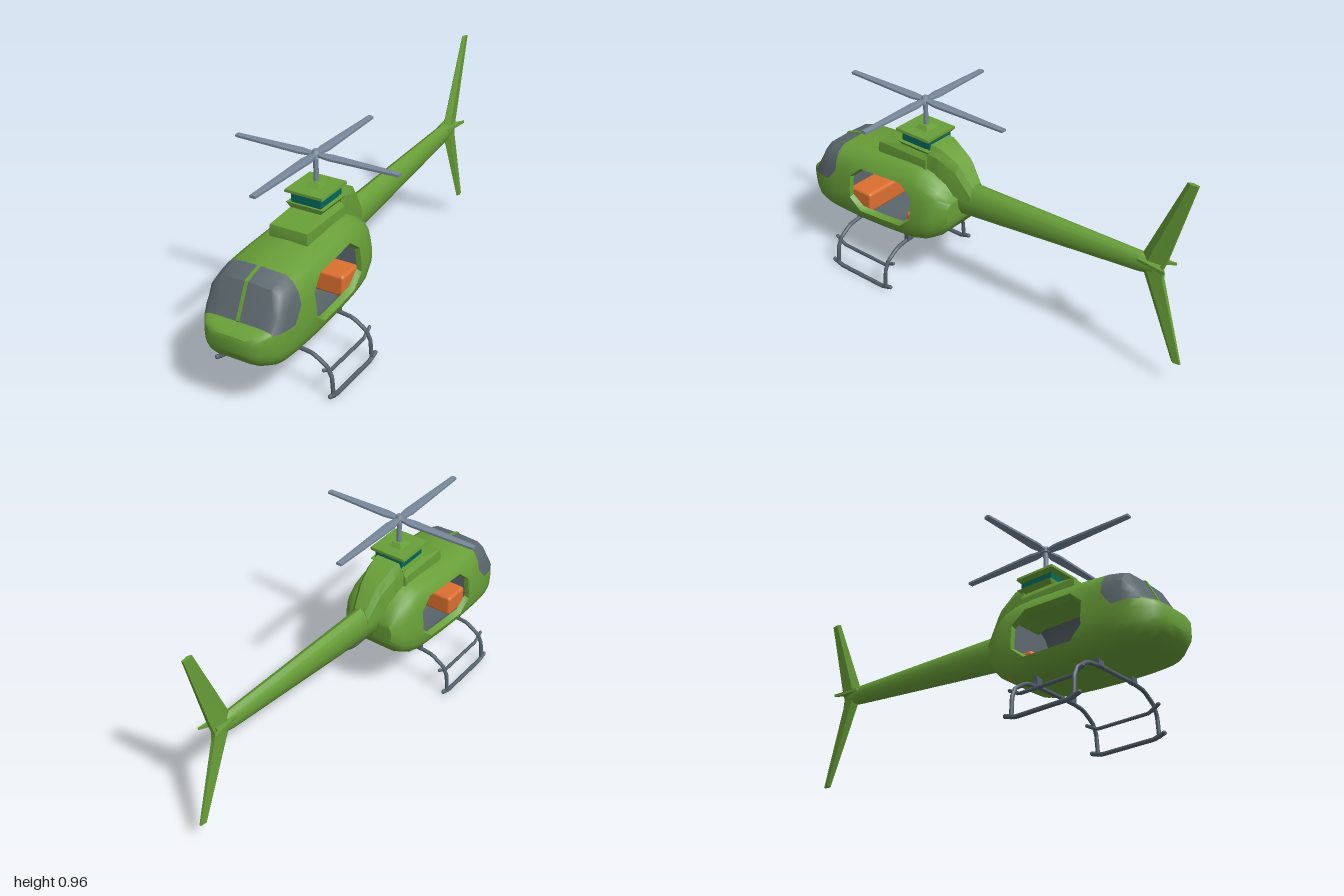
import * as THREE from 'three';
import { toCreasedNormals } from 'three/addons/utils/BufferGeometryUtils.js';
import { RoundedBoxGeometry } from 'three/addons/geometries/RoundedBoxGeometry.js';

const mat = (name, color) => Object.assign(new THREE.MeshStandardMaterial({ color }), { name });
const V = (x, y, z) => new THREE.Vector3(x, y, z);

// Triangle soup to geometry, with soft normals below the crease angle
function soup(tris, crease = 0.7) {
  const g = new THREE.BufferGeometry().setFromPoints(tris);
  return toCreasedNormals(g, crease);
}

// Closed solid through equal-sized rings of points, always facing outward
function loft(rings, crease = 0.5) {
  const t = [], n = rings[0].length;
  for (let i = 0; i + 1 < rings.length; i++) for (let j = 0; j < n; j++) {
    const k = (j + 1) % n, A = rings[i], B = rings[i + 1];
    t.push(A[j], A[k], B[k], A[j], B[k], B[j]);
  }
  const E = rings[rings.length - 1];
  for (let j = 1; j + 1 < n; j++) t.push(rings[0][0], rings[0][j + 1], rings[0][j], E[0], E[j], E[j + 1]);
  let vol = 0;
  const c = rings[0][0];
  for (let i = 0; i < t.length; i += 3) {
    const [p, q, r] = [0, 1, 2].map(k => t[i + k].clone().sub(c));
    vol += p.dot(q.cross(r));
  }
  return soup(vol < 0 ? t.reverse() : t, crease);
}

// Rectangular layers stacked upward: [y, half width, back z, front z]
const layers = rows => loft(rows.map(([y, h, a, b]) => [V(-h, y, a), V(h, y, a), V(h, y, b), V(-h, y, b)]));

// Fuselage stations, nose to tail: [z, bottom, waist, top, half width]
const ST = [
  [1.0, .30, .35, .375, .09], [.98, .262, .375, .39, .13], [.94, .235, .388, .405, .16],
  [.905, .224, .39, .475, .18], [.87, .219, .39, .545, .188], [.83, .217, .39, .558, .192],
  [.78, .217, .39, .57, .195], [.685, .217, .39, .58, .195], [.625, .218, .39, .584, .195],
  [.5, .224, .395, .592, .192], [.385, .232, .4, .6, .187], [.32, .24, .405, .6, .183],
  [.26, .258, .41, .583, .178], [.2, .295, .42, .545, .163], [.15, .36, .43, .48, .122],
];
// Section rows, bottom to top: [half above waist, height fraction, width fraction]
const ROW = [
  [0, 0, 0], [0, 0, .6], [0, .1, .82], [0, .28, .94], [0, .45, .985], [0, .75, 1], [0, 1, .99],
  [1, .35, .95], [1, .63, .895], [1, .84, .78], [1, .97, .6], [1, 1, 0],
];
function hullPoint(i, r, inset = 0) {
  const [z, yb, ym, yt, w] = ST[i], [up, f, g] = ROW[r];
  const y = up ? ym + (yt - inset - ym) * f : yb + inset + (ym - yb - inset) * f;
  return V(g * (w - inset), y, z);
}
// Region of a cell, and the body corner kept where a cell is cut diagonally
const CUT = { '5,6': 1, '7,4': 0, '10,4': 1, '10,7': 2, '7,7': 3 };
function region(i, r) {
  if (i >= 2 && i <= 5 && r >= 6) return 'window';
  if (i >= 7 && i <= 10 && r >= 4 && r <= 7) return 'door';
  return 'body';
}
function addBoth(tris, pts, flip = false) {
  for (const s of [1, -1]) {
    const q = pts.map(p => V(p.x * s, p.y, p.z));
    if ((s < 0) !== flip) q.reverse();
    for (let k = 1; k + 1 < q.length; k++) tris.push(q[0], q[k], q[k + 1]);
  }
}
function hull(kind, i0, i1, inset = 0, flip = false) {
  const t = [], lining = inset > 0;
  for (let i = i0; i < i1; i++) for (let r = 0; r < ROW.length - 1; r++) {
    const q = [hullPoint(i, r, inset), hullPoint(i + 1, r, inset), hullPoint(i + 1, r + 1, inset), hullPoint(i, r + 1, inset)];
    const reg = region(i, r), k = CUT[i + ',' + r];
    if (k !== undefined && kind === 'body') addBoth(t, [q[(k + 3) % 4], q[k], q[(k + 1) % 4]], flip);
    else if (k !== undefined && kind === reg) addBoth(t, [q[(k + 1) % 4], q[(k + 2) % 4], q[(k + 3) % 4]], flip);
    else if (reg === kind || (lining && reg !== 'door')) addBoth(t, q, flip);
  }
  // End walls
  if (kind === 'body') for (const [i, back] of [[i0, false], [i1, true]]) for (let r = 0; r < ROW.length - 1; r++) {
    const a = hullPoint(i, r, inset), b = hullPoint(i, r + 1, inset);
    const q = [V(-a.x, a.y, a.z), a, b, V(-b.x, b.y, b.z)];
    if (back !== flip) q.reverse();
    t.push(q[0], q[1], q[2], q[0], q[2], q[3]);
  }
  return soup(t, 0.75);
}

export function createModel() {
  const model = new THREE.Group();
  model.name = 'helicopter';
  const green = mat('body green', 0x689f38), glass = mat('window grey', 0x5c686e);
  const lightGrey = mat('rotor grey', 0x78899a), darkGrey = mat('skid grey', 0x53616a);
  const teal = mat('intake teal', 0x00695c), orange = mat('seat orange', 0xdc7030);
  const add = (name, geo, m, parent = model) => {
    const mesh = new THREE.Mesh(geo, m);
    mesh.name = name;
    parent.add(mesh);
    return mesh;
  };

  // Cabin shell, windshield and inner lining
  const last = ST.length - 1;
  add('fuselage', hull('body', 0, last), green);
  add('windshield', hull('window', 0, last), glass);
  add('cabinLining', hull('body', 6, 12, 0.025, true), glass);
  const rim = [];
  const edge = [[8, 4], [9, 4], [10, 4], [11, 5], [11, 6], [11, 7], [10, 8], [9, 8], [8, 8], [7, 7], [7, 6], [7, 5]];
  edge.forEach(([i, r], k) => {
    const [j, s] = edge[(k + 1) % edge.length];
    addBoth(rim, [hullPoint(i, r), hullPoint(j, s), hullPoint(j, s, 0.025), hullPoint(i, r, 0.025)]);
  });
  add('doorFrames', soup(rim), green);
  add('windshieldDivider', loft([2, 3, 4, 5, 6].map(i => {
    const [z, , , y] = ST[i];
    return [V(-.007, y - .004, z), V(.007, y - .004, z), V(.007, y + .004, z + .003), V(-.007, y + .004, z + .003)];
  })), green);

  // Bench seats
  for (const [name, z] of [['frontSeat', .68], ['rearSeat', .325]])
    add(name, new RoundedBoxGeometry(.27, .1, .13, 2, .015), orange).position.set(0, .307, z);

  // Engine cowl, intake and aft fairing
  add('engineCowl', layers([[.56, .088, .3, .58], [.6, .09, .3, .585], [.635, .088, .3, .58],
    [.66, .072, .3, .455], [.682, .089, .28, .46]]), green);
  add('intake', layers([[.675, .07, .29, .45], [.725, .07, .29, .45]]), teal);
  add('cowlRoof', layers([[.718, .075, .29, .45], [.73, .09, .28, .47], [.742, .088, .28, .47]]), green);
  add('mastBase', layers([[.74, .035, .335, .41], [.762, .02, .35, .39]]), green);
  add('aftFairing', loft([[.31, .56, .71, .078, .06], [.24, .53, .7, .075, .053], [.15, .49, .65, .06, .04], [.08, .47, .55, .045, .028]]
    .map(([z, a, b, h, k]) => [V(-h, a, z), V(h, a, z), V(h, b - .04, z), V(k, b, z), V(-k, b, z), V(-h, b - .04, z)])), green);

  // Tail boom, fin and stabiliser
  add('tailBoom', loft([[.22, .465, .05, .09], [-.78, .532, .029, .047], [-.84, .53, .018, .03]].map(([z, y, w, h]) =>
    Array.from({ length: 12 }, (_, k) => V(w * Math.cos(k * Math.PI / 6), y + h * Math.sin(k * Math.PI / 6), z))), .7), green);
  add('tailFin', loft([[.965, -.95, -1, .009], [.58, -.785, -.897, .018], [.53, -.775, -.88, .02], [.485, -.795, -.887, .018], [.115, -.957, -1, .009]]
    .map(([y, a, b, w]) => [V(0, y, a), V(w, y, a * .65 + b * .35), V(w * .5, y, b), V(-w * .5, y, b), V(-w, y, a * .65 + b * .35)])), green);
  const stab = new THREE.Shape([[0, -.765], [.03, -.775], [.045, -.915], [.025, -.88], [0, -.87],
    [-.025, -.88], [-.045, -.915], [-.03, -.775]].map(p => new THREE.Vector2(...p)));
  const stabGeo = new THREE.ExtrudeGeometry(stab, { depth: .014, bevelEnabled: false }).rotateX(Math.PI / 2);
  add('stabiliser', stabGeo, green).position.y = .56;

  // Main rotor
  const rotor = new THREE.Group();
  rotor.name = 'mainRotor';
  rotor.position.set(0, .877, .37);
  model.add(rotor);
  add('mast', new THREE.CylinderGeometry(.011, .011, .13, 12), lightGrey, rotor).position.y = -.06;
  add('hub', new THREE.CylinderGeometry(.013, .026, .03, 8), lightGrey, rotor).position.y = .005;
  for (let k = 0; k < 4; k++) {
    const len = k % 2 ? .383 : .44;
    const geo = loft([[.01, .013], [.07, .023], [len, .013]].map(([d, w]) =>
      [V(-w, -.006, d), V(w, -.006, d), V(w, .004, d), V(0, .007, d), V(-w, .004, d)]));
    add('rotorBlade', geo, lightGrey, rotor).rotation.y = k * Math.PI / 2;
  }

  // Landing gear
  const gear = new THREE.Group();
  gear.name = 'landingGear';
  model.add(gear);
  const tube = (name, pts, r) => {
    const path = new THREE.CurvePath();
    for (let i = 0; i + 1 < pts.length; i++) path.add(new THREE.LineCurve3(V(...pts[i]), V(...pts[i + 1])));
    add(name, new THREE.TubeGeometry(path, 36, r, 8), darkGrey, gear);
    for (const p of [pts[0], pts[pts.length - 1]])
      add(name + 'End', new THREE.SphereGeometry(r, 8, 6), darkGrey, gear).position.set(...p);
  };
  for (const z of [.705, .4]) {
    const half = [[.11, .195], [.185, .186], [.25, .145], [.271, .1], [.277, .014]];
    const pts = [...half.map(([x, y]) => [-x, y, z]).reverse(), ...half.map(([x, y]) => [x, y, z])];
    tube('crossTube', pts, .009);
    for (const s of [1, -1])
      add('gearMount', new THREE.BoxGeometry(.034, .06, .022), darkGrey, gear).position.set(s * .11, .22, z);
  }
  for (const s of [1, -1]) {
    tube('skid', [[s * .277, .025, .73], [s * .277, .01, .68], [s * .277, .01, .42], [s * .277, .025, .37]], .01);
    tube('step', [[s * .249, .142, .73], [s * .251, .115, .68], [s * .251, .115, .42], [s * .249, .142, .37]], .008);
  }
  return model;
}
